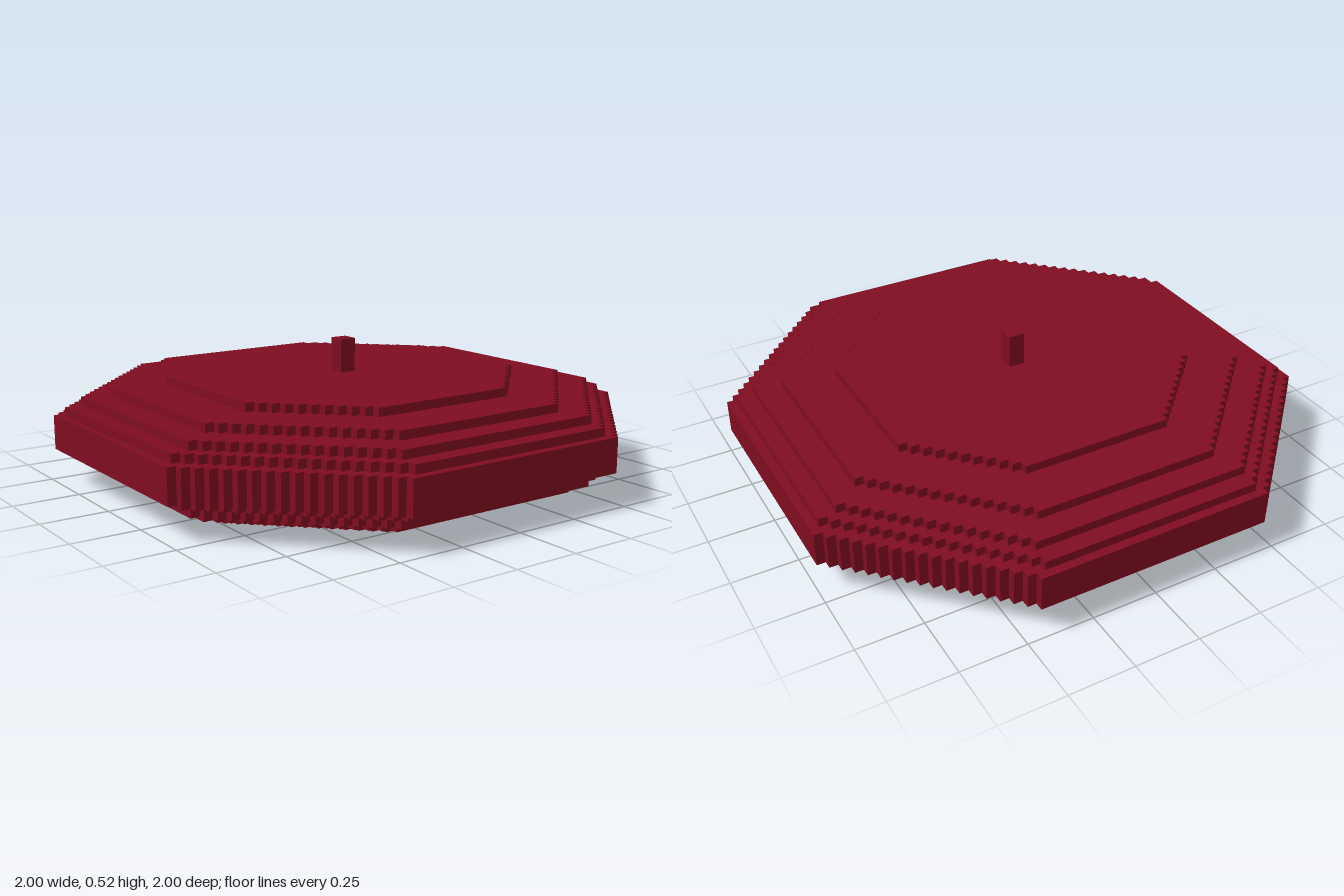
import * as THREE from 'three';
import { mergeGeometries } from 'three/addons/utils/BufferGeometryUtils.js';

const V = 2 / 62; // size of one block

// Stair-stepped octagon outline: flat sides at r blocks, diagonals where |x| + |z| = sum
function octagonPoints(r, sum) {
  const quadrant = [];
  for (let x = r, z = sum - r; x >= sum - r; x--, z++) {
    quadrant.push([x, z]);
    if (x > sum - r) quadrant.push([x - 1, z]);
  }
  const points = [];
  for (let k = 0; k < 4; k++) {
    for (const [x, z] of quadrant) {
      const [px, pz] = [[x, z], [-z, x], [-x, -z], [z, -x]][k];
      points.push(new THREE.Vector2(px * V, pz * V));
    }
  }
  return points;
}

const diagonal = (r) => Math.round(Math.SQRT2 * r) + 1;

// Upright slab from a shape, spanning rows y0 to y1
function slab(shape, y0, y1) {
  const geo = new THREE.ExtrudeGeometry(shape, { depth: (y1 - y0) * V, bevelEnabled: false });
  return geo.rotateX(-Math.PI / 2).translate(0, y0 * V, 0);
}

export function createModel() {
  const model = new THREE.Group();
  model.name = 'steppedDisc';
  const red = new THREE.MeshStandardMaterial({ color: 0x7f0d20 });
  red.name = 'darkRed';
  const black = new THREE.MeshStandardMaterial({ color: 0x222222 });
  black.name = 'black';

  const add = (name, geometry, material) => {
    const mesh = new THREE.Mesh(geometry, material);
    mesh.name = name;
    model.add(mesh);
  };

  // Hull tiers: [radius, bottom row, top row]
  const tiers = [
    [26, 1, 2], [28, 2, 3], [29, 3, 4], [31, 4, 8],
    [30, 8, 9], [28, 9, 10], [25, 10, 11], [19, 11, 12],
  ];
  tiers.forEach(([r, y0, y1], i) =>
    add(`hullTier${i + 1}`, slab(new THREE.Shape(octagonPoints(r, diagonal(r))), y0, y1), red));

  // Bottom layer: red floor inside a black ring
  const inner = octagonPoints(20, diagonal(20));
  add('floor', slab(new THREE.Shape(inner), 0, 1), red);
  const ring = new THREE.Shape(octagonPoints(23, 33));
  ring.holes.push(new THREE.Path(inner));
  add('bottomRing', slab(ring, 0, 1), black);

  // Red blocks stepping along the four diagonals outside the ring
  const blocks = [];
  for (let i = 11; i <= 23; i++) {
    for (const sx of [-1, 1]) for (const sz of [-1, 1]) {
      blocks.push(new THREE.BoxGeometry(V, V, V)
        .translate(sx * (i - 0.5) * V, V / 2, sz * (33.5 - i) * V));
    }
  }
  add('cornerBlocks', mergeGeometries(blocks), red);

  // Short post on top
  add('topPost', new THREE.BoxGeometry(2 * V, 4 * V, 2 * V).translate(0, 14 * V, 0), red);

  return model;
}
